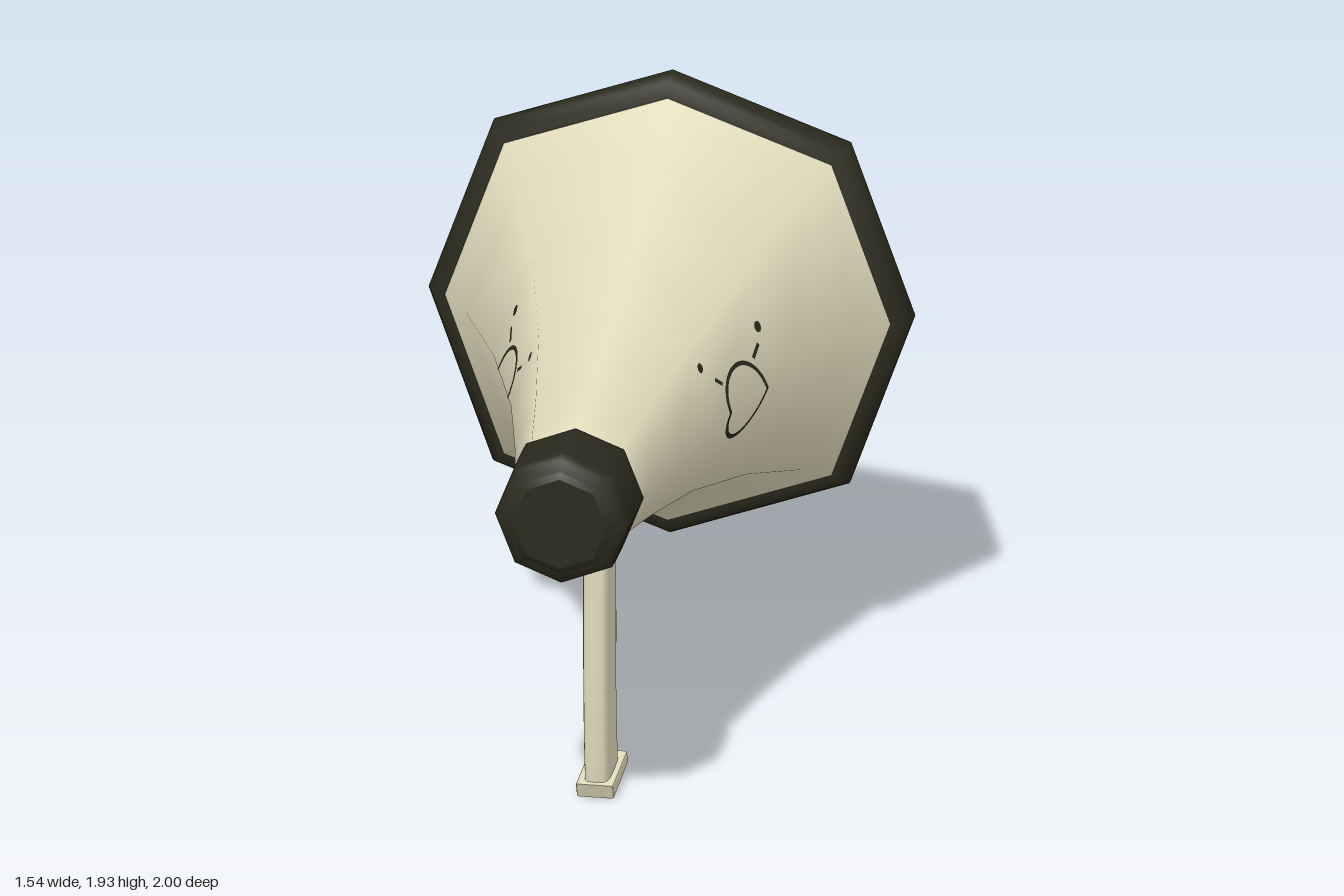
import * as THREE from 'three';

const AXIS_Y = 1.157;
const cream = new THREE.MeshStandardMaterial({ color: 0xe2dcbd });
cream.name = 'cream plastic';
const dark = new THREE.MeshStandardMaterial({ color: 0x2a2a1d });
dark.name = 'dark rubber';

// Outer horn profile as [radius, z], rear to front
const hornProfile = [[0.715, -0.88], [0.615, -0.73], [0.463, -0.38], [0.333, 0.03], [0.252, 0.4], [0.215, 0.6], [0.2, 0.68], [0.185, 0.695]];
// The four diagonal corners of the horn stand out a little further than the others
const DIAGONAL = 1.04;

export function createModel() {
  const model = new THREE.Group();
  model.name = 'megaphone';

  const add = (name, geometry, material) => {
    const mesh = new THREE.Mesh(geometry, material);
    mesh.name = name;
    model.add(mesh);
    return mesh;
  };

  // Eight-sided turned part along z
  const turned = (name, profile, material, diagonal = 1) => {
    const g = new THREE.LatheGeometry(profile.map(([r, z]) => new THREE.Vector2(r, z)), 8);
    const p = g.attributes.position;
    for (let i = 0; i < p.count; i++) {
      const corner = Math.floor(i / profile.length);
      const k = corner % 2 ? diagonal : 1;
      p.setXYZ(i, p.getX(i) * k, p.getY(i), p.getZ(i) * k);
    }
    g.rotateX(Math.PI / 2);
    add(name, g, material).position.y = AXIS_Y;
  };

  turned('hornShell', hornProfile, cream, DIAGONAL);
  turned('hornInside', [[0.12, 0.3], [0.2, 0.1], [0.3, -0.3], [0.43, -0.82]], cream, DIAGONAL);
  turned('bellRim', [
    [0.43, -0.82], [0.55, -0.885], [0.68, -0.97], [0.72, -1], [0.748, -1],
    [0.771, -0.96], [0.771, -0.93], [0.755, -0.89], [0.72, -0.87], [0.69, -0.87],
  ], dark, DIAGONAL);
  turned('innerTube', [[0, -0.81], [0.05, -0.82], [0.075, -0.86], [0.11, -0.87], [0.132, -0.85], [0.132, -0.77], [0.132, 0.32]], dark);
  turned('mouthpiece', [
    [0, 0.69], [0.18, 0.69], [0.205, 0.7], [0.218, 0.73], [0.219, 0.85], [0.217, 0.94],
    [0.205, 0.975], [0.172, 0.983], [0.168, 0.99], [0.15, 1], [0.149, 1], [0, 1],
  ], dark, 1.015);

  // Side-outline part: points are [z, y], extruded across x
  const slab = (name, points, width, bevel) => {
    const shape = new THREE.Shape(points.map(([z, y]) => new THREE.Vector2(z, y)));
    const depth = width - 2 * bevel;
    const g = new THREE.ExtrudeGeometry(shape, {
      depth, bevelEnabled: true, bevelThickness: bevel, bevelSize: bevel, bevelOffset: -bevel, bevelSegments: 2,
    });
    g.translate(0, 0, -depth / 2);
    g.rotateY(-Math.PI / 2);
    return add(name, g, cream);
  };

  // Bracket narrows towards the grip
  const bracket = slab('gripBracket', [[0.41, 0.92], [0.43, 0.82], [0.18, 0.78], [0.145, 0.865], [0.2, 0.92]], 0.12, 0.012);
  const bp = bracket.geometry.attributes.position;
  for (let i = 0; i < bp.count; i++) bp.setX(i, bp.getX(i) * (1 - 1.4 * (0.92 - bp.getY(i))));
  bracket.geometry.computeVertexNormals();

  slab('gripFoot', [[0.402, 0.05], [0.38, 0], [0.13, 0.028], [0.152, 0.072]], 0.12, 0.008);
  slab('trigger', [[0.23, 0.63], [0.188, 0.62], [0.16, 0.45], [0.23, 0.43]], 0.06, 0.006);

  // Rounded grip: rows are [y, rear z, front z], top to bottom
  const rows = [[0.86, 0.21, 0.41], [0.6, 0.21, 0.412], [0.4, 0.207, 0.41], [0.2, 0.193, 0.4], [0.04, 0.168, 0.382]];
  const sides = 16;
  const grip = new THREE.CylinderGeometry(1, 1, 1, sides, rows.length - 1, true);
  const gp = grip.attributes.position;
  const soften = (v) => Math.sign(v) * Math.sqrt(Math.abs(v));
  for (let i = 0; i < gp.count; i++) {
    const [y, back, front] = rows[Math.floor(i / (sides + 1))];
    gp.setXYZ(i, 0.042 * soften(gp.getX(i)), y, (back + front) / 2 + (front - back) / 2 * soften(gp.getZ(i)));
  }
  grip.computeVertexNormals();
  add('grip', grip, cream);

  // Half width of the eight-sided horn at z and height dy from its axis
  const hornX = (z, dy) => {
    const i = Math.max(1, hornProfile.findIndex(([, pz]) => pz >= z));
    const [r0, z0] = hornProfile[i - 1], [r1, z1] = hornProfile[i];
    const r = r0 + (r1 - r0) * (z - z0) / (z1 - z0);
    const d = DIAGONAL * Math.SQRT1_2;
    return r - Math.abs(dy) * (1 - d) / d;
  };

  // Flat marking wrapped onto one side of the horn
  const marking = (name, flat, side, z, y) => {
    const p = flat.attributes.position;
    for (let i = 0; i < p.count; i++) {
      const pz = z - side * p.getX(i), py = y + p.getY(i);
      p.setXYZ(i, side * (hornX(pz, py - AXIS_Y) + 0.002), py, pz);
    }
    flat.computeVertexNormals();
    add(name, flat, dark);
  };

  for (const side of [1, -1]) {
    const end = side > 0 ? 'Left' : 'Right';
    marking('sideRing' + end, new THREE.RingGeometry(0.109, 0.123, 40), side, -0.15, AXIS_Y);
    marking('frontDot' + end, new THREE.CircleGeometry(0.016, 10), side, 0.04, 1.33);
    marking('rearDot' + end, new THREE.CircleGeometry(0.018, 10), side, -0.33, 1.335);
    marking('frontDash' + end, new THREE.PlaneGeometry(0.04, 0.012).rotateZ(-0.7 * side), side, -0.03, 1.26);
    marking('rearDash' + end, new THREE.PlaneGeometry(0.06, 0.014).rotateZ(0.5 * side), side, -0.275, 1.275);
  }

  return model;
}
